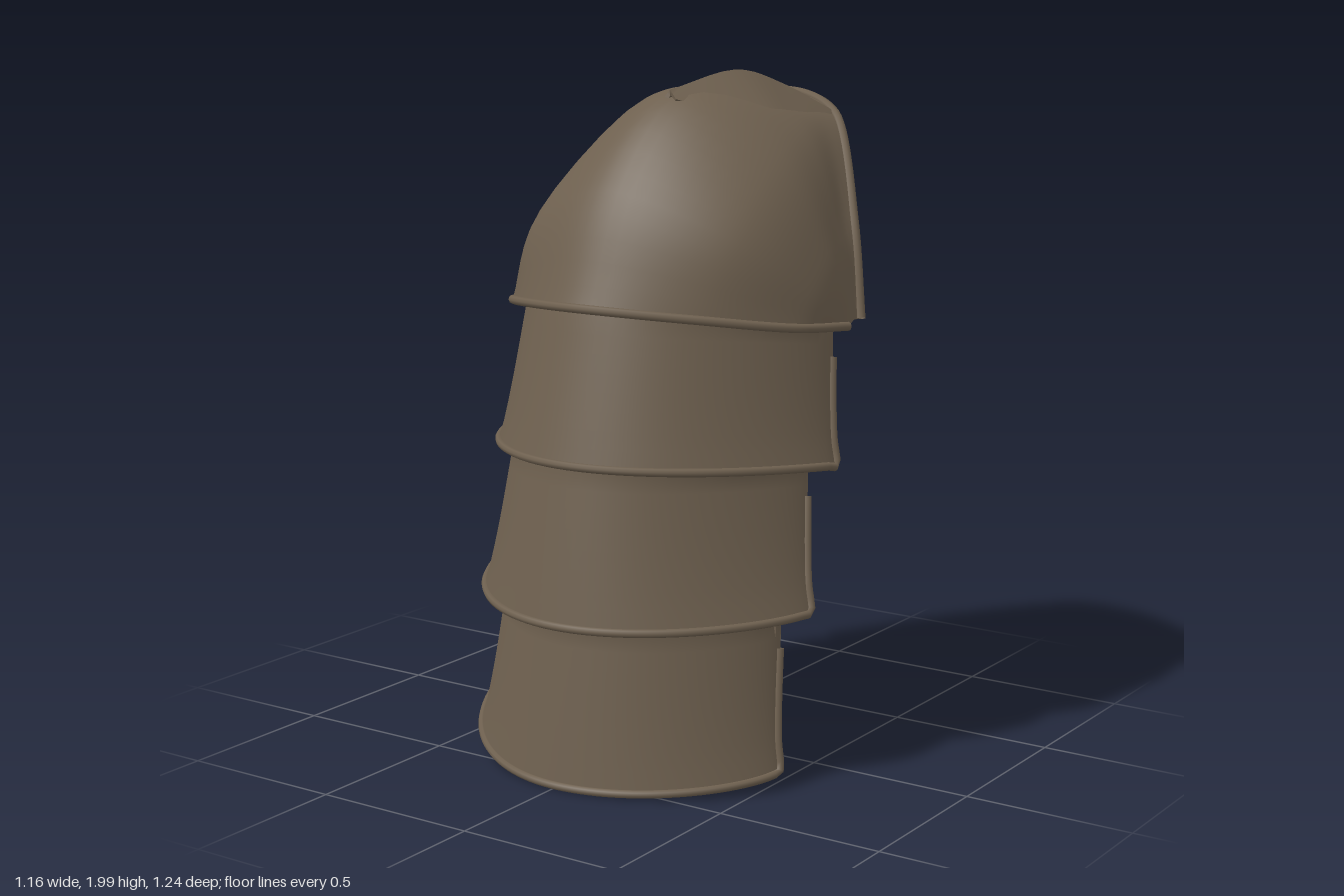
import * as THREE from 'three';
import { toCreasedNormals } from 'three/addons/utils/BufferGeometryUtils.js';

const V = (x, y, z) => new THREE.Vector3(x, y, z);
const lerp = THREE.MathUtils.lerp;
const spline = pts => new THREE.CatmullRomCurve3(pts);
const splines = rows => rows.map(a => spline(a.map(p => V(...p))));

// Closed sheet of metal or leather over a surface S(u, v)
function shell(S, nu, nv, thickness) {
  const pos = [], index = [], w = nv + 1;
  for (let i = 0; i <= nu; i++)
    for (let j = 0; j <= nv; j++) pos.push(...S(i / nu, j / nv).toArray());
  for (let i = 0; i < nu; i++)
    for (let j = 0; j < nv; j++) {
      const a = i * w + j, b = a + 1, c = a + w, d = c + 1;
      index.push(a, b, c, c, b, d);
    }
  const face = new THREE.BufferGeometry();
  face.setAttribute('position', new THREE.Float32BufferAttribute(pos, 3));
  face.setIndex(index);
  face.computeVertexNormals();
  const n = face.attributes.normal.array, N = pos.length / 3;
  const all = pos.concat(pos.map((p, k) => p - n[k] * thickness));
  const idx = index.slice();
  for (let k = 0; k < index.length; k += 3)
    idx.push(index[k] + N, index[k + 2] + N, index[k + 1] + N);
  // Edge strip around the perimeter
  const loop = [];
  for (let j = 0; j < nv; j++) loop.push(j);
  for (let i = 0; i < nu; i++) loop.push(i * w + nv);
  for (let j = nv; j > 0; j--) loop.push(nu * w + j);
  for (let i = nu; i > 0; i--) loop.push(i * w);
  loop.forEach((p, k) => {
    const q = loop[(k + 1) % loop.length];
    idx.push(q, p, p + N, q, p + N, q + N);
  });
  const g = new THREE.BufferGeometry();
  g.setAttribute('position', new THREE.Float32BufferAttribute(all, 3));
  g.setIndex(idx);
  return toCreasedNormals(g, 0.9);
}

// Open-backed ring: front height and depth, then the two back ends
function ring([yf, zf], [xl, yl, zl], [xr, yr, zr]) {
  return u => {
    const a = (0.5 - u) * Math.PI, s = Math.sin(a), c = Math.max(0, Math.cos(a));
    return s > 0
      ? V(xl * s, lerp(yl, yf, c), lerp(zl, zf, Math.pow(c, 1.45)))
      : V(-xr * s, lerp(yr, yf, c), lerp(zr, zf, Math.pow(c, 1.1)));
  };
}

// Arm plate wall between two rings, slightly hollow
const wallBetween = (low, high) => (u, v) => {
  const p = low(u).lerp(high(u), v);
  p.x *= 1 - 0.015 * Math.sin(Math.PI * Math.pow(v, 0.7));
  return p;
};

export function createModel() {
  const root = new THREE.Group();
  const leather = new THREE.MeshStandardMaterial({ color: 0x6e604f });
  leather.name = 'brown leather';
  leather.side = THREE.DoubleSide;
  const add = (name, geometry, parent = root) => {
    const m = new THREE.Mesh(geometry, leather);
    m.name = name;
    parent.add(m);
    return m;
  };
  const rim = (curve, r, parent, name) =>
    add(name, new THREE.TubeGeometry(curve, 90, r, 8), parent);

  // Shoulder dome: arches from the front hem over the crown to the back rim
  const arches = splines([
    [[.555, 1.295, -.07], [.50, 1.31, .12], [.30, 1.345, .34], [0, 1.365, .46], [-.30, 1.345, .34], [-.48, 1.31, .12], [-.52, 1.28, -.09]],
    [[.555, 1.30, -.08], [.51, 1.41, .07], [.36, 1.57, .235], [0, 1.69, .32], [-.32, 1.57, .235], [-.47, 1.41, .06], [-.52, 1.28, -.11]],
    [[.555, 1.305, -.09], [.51, 1.51, -.03], [.37, 1.77, .02], [.03, 1.935, .08], [-.25, 1.785, .0], [-.45, 1.50, -.05], [-.52, 1.28, -.13]],
    [[.555, 1.31, -.10], [.505, 1.53, -.10], [.36, 1.83, -.13], [.09, 1.95, -.12], [-.20, 1.84, -.20], [-.45, 1.55, -.14], [-.52, 1.275, -.15]],
    [[.555, 1.31, -.115], [.50, 1.55, -.15], [.32, 1.875, -.28], [.09, 1.90, -.34], [-.18, 1.81, -.42], [-.43, 1.61, -.23], [-.525, 1.27, -.165]],
    [[.56, 1.31, -.13], [.50, 1.57, -.19], [.35, 1.86, -.34], [.08, 1.915, -.49], [-.16, 1.785, -.605], [-.40, 1.655, -.345], [-.53, 1.265, -.18]],
  ]);
  // Pointed corner on the back rim
  arches[5].curveType = 'catmullrom';
  arches[5].tension = 0.4;
  const dome = new THREE.Group();
  dome.name = 'shoulderDome';
  root.add(dome);
  const domeSurface = (u, v) => spline(arches.map(c => c.getPoint(u))).getPoint(v);
  add('domeSheet', shell(domeSurface, 54, 26, 0.025), dome);
  rim(arches[0], 0.013, dome, 'domeFrontHem');
  rim(arches[5], 0.014, dome, 'domeBackRim');

  // Raised crease running back across the crown: left foot, crest, right foot
  const crease = splines([
    [[.035, 1.93, .09], [.11, 1.93, -.13], [.19, 1.90, -.26], [.31, 1.86, -.35]],
    [[.05, 1.95, .085], [.15, 2.0, -.12], [.23, 1.955, -.24], [.33, 1.88, -.34]],
    [[.08, 1.925, .10], [.32, 1.84, -.08], [.36, 1.82, -.18], [.37, 1.82, -.30]],
  ]);
  const creaseSurface = (u, v) => {
    const [left, crest, right] = crease.map(c => c.getPoint(u));
    return v < 0.5 ? left.lerp(crest, v * 2) : crest.lerp(right, v * 2 - 1);
  };
  add('crownCrease', shell(creaseSurface, 16, 4, 0.015), dome);

  // Three arm plates: bottom ring, top ring
  const plates = [
    ['lowerPlate',
      ring([0.02, 0.603], [0.53, 0.06, 0.24], [-0.56, 0.14, 0.03]),
      ring([0.47, 0.54], [0.485, 0.485, 0.165], [-0.49, 0.505, -0.02])],
    ['middlePlate',
      ring([0.485, 0.597], [0.555, 0.50, 0.12], [-0.57, 0.525, -0.06]),
      ring([0.92, 0.515], [0.475, 0.89, 0.01], [-0.495, 0.895, -0.11])],
    ['upperPlate',
      ring([0.935, 0.54], [0.565, 0.905, 0.005], [-0.555, 0.915, -0.13]),
      ring([1.345, 0.43], [0.505, 1.28, -0.07], [-0.5, 1.265, -0.17])],
  ];
  const walls = plates.map(([, low, high]) => wallBetween(low, high));
  plates.forEach(([name, , high], k) => {
    const g = new THREE.Group();
    g.name = name;
    root.add(g);
    const wall = walls[k];
    // The top leans outward to join the inside of the piece above
    const above = k < 2 ? walls[k + 1] : domeSurface;
    const S = (u, v) => v <= 0.8 ? wall(u, v / 0.8)
      : high(u).lerp(above(u, 0.2), (v - 0.8) / 0.2 * 0.85);
    add(name + 'Sheet', shell(S, 40, 10, 0.02), g);
    const hem = [];
    for (let i = 4; i > 0; i--) hem.push(wall(0, i / 5));
    for (let i = 0; i <= 24; i++) hem.push(wall(i / 24, 0));
    for (let i = 1; i < 5; i++) hem.push(wall(1, i / 5));
    rim(spline(hem), 0.012, g, name + 'Hem');
  });

  // Strap across the open back
  const strapPath = spline([
    V(.47, .41, .20), V(.425, .41, .10), V(.335, .41, .0), V(.25, .40, -.07), V(.10, .37, -.15),
    V(-.08, .335, -.18), V(-.25, .30, -.165), V(-.41, .275, -.08), V(-.485, .29, .07),
  ]);
  const strap = (u, v) => {
    const p = strapPath.getPoint(u);
    p.y += (v - 0.5) * 0.13;
    return p;
  };
  add('backStrap', shell(strap, 40, 2, 0.016));

  // Buckle block with a keeper on the strap's high end
  const buckle = new THREE.Group();
  buckle.name = 'strapBuckle';
  buckle.position.set(.335, .415, .01);
  buckle.rotation.y = 0.8;
  root.add(buckle);
  add('buckleBlock', new THREE.BoxGeometry(.045, .16, .19), buckle);
  add('buckleKeeper', new THREE.BoxGeometry(.06, .18, .035), buckle).position.z = .05;
  add('buckleTab', new THREE.BoxGeometry(.04, .03, .11), buckle).position.set(0, .09, .03);

  // Anchor patch at the strap's low end
  const anchor = add('strapAnchor', new THREE.BoxGeometry(.03, .15, .09));
  anchor.position.set(-.475, .29, .05);
  anchor.rotation.y = -0.35;
  return root;
}
